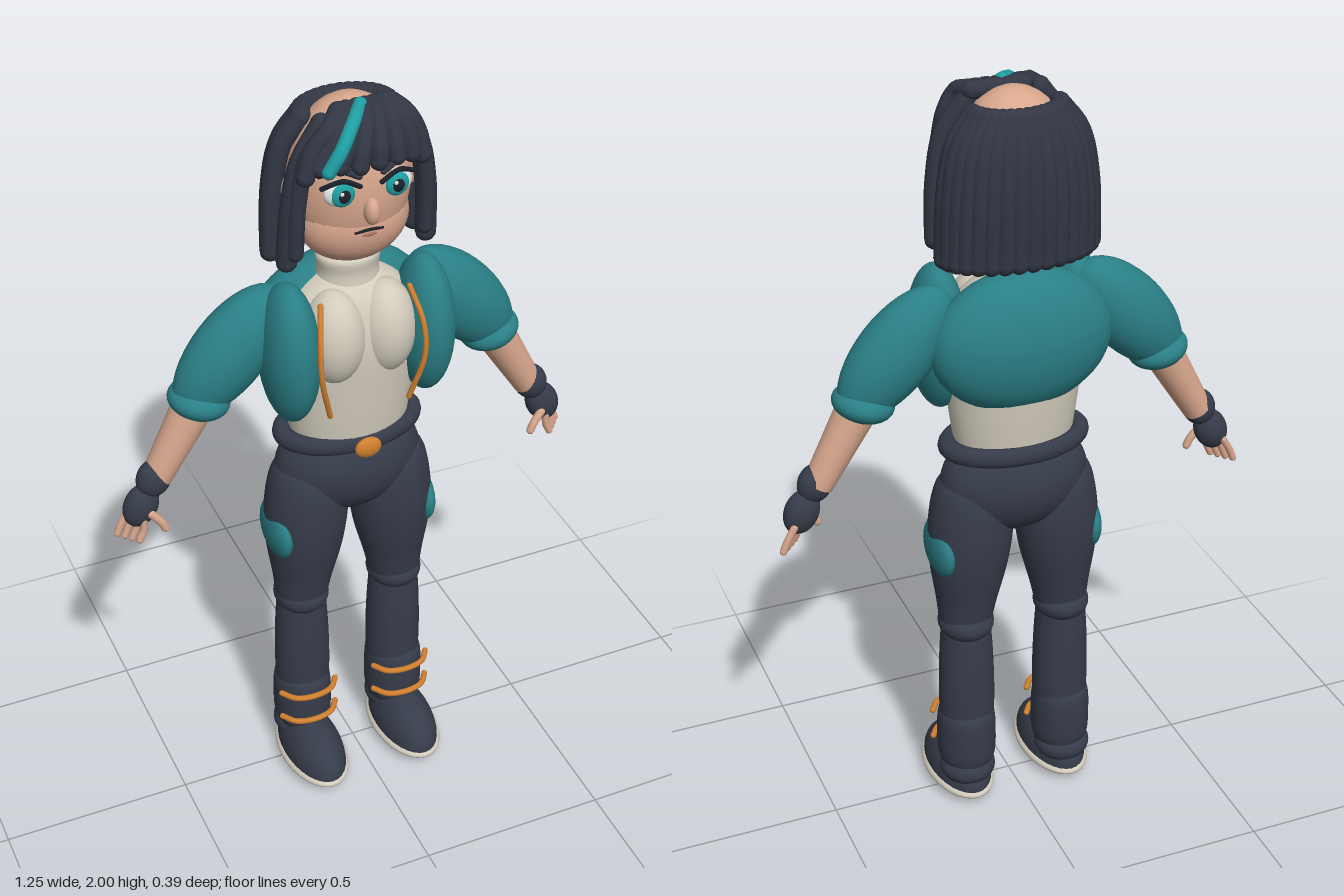
import * as THREE from 'three';

export function createModel() {
  const model = new THREE.Group();
  const mat = (name, color) => {
    const m = new THREE.MeshStandardMaterial({ color });
    m.name = name;
    return m;
  };
  const hair = mat('hair', 0x323744), dark = mat('darkCloth', 0x363c4a), teal = mat('jacketTeal', 0x2a7f86);
  const skin = mat('skin', 0xd8a78d), cream = mat('cream', 0xd2ccbc), orange = mat('orangeTrim', 0xcf8030);
  const bright = mat('brightTeal', 0x1f9fa3), white = mat('eyeWhite', 0xe8ebea), black = mat('pupilDark', 0x1c2029);
  const lip = mat('lip', 0xa86f60);

  const V = (p) => new THREE.Vector3(...p);
  const add = (name, geo, m, pos = [0, 0, 0]) => {
    const mesh = new THREE.Mesh(geo, m);
    mesh.name = name;
    mesh.position.set(...pos);
    model.add(mesh);
    return mesh;
  };
  // Ellipsoid with three radii, optionally tilted about z
  const ball = (name, m, pos, radii, tilt = 0) => {
    const mesh = add(name, new THREE.SphereGeometry(1, 32, 20), m, pos);
    mesh.scale.set(...radii);
    mesh.rotation.z = tilt;
    return mesh;
  };
  // Round strand through a few points, with rounded ends
  const strand = (name, m, pts, r) => {
    const curve = new THREE.CatmullRomCurve3(pts.map(V));
    add(name, new THREE.TubeGeometry(curve, 16, r, 10), m);
    for (const p of [pts[0], pts[pts.length - 1]]) {
      add(name + 'End', new THREE.SphereGeometry(r, 10, 8), m, p);
    }
  };
  // Turned shape flattened in z
  const turned = (name, m, profile, pos, flat = 1) => {
    const curve = new THREE.SplineCurve(profile.map(([r, y]) => new THREE.Vector2(r, y)));
    const mesh = add(name, new THREE.LatheGeometry(curve.getPoints(28), 32), m, pos);
    mesh.scale.z = flat;
    return mesh;
  };

  // Torso, collar, waist
  turned('torso', cream, [[0.15, 1.05], [0.17, 1.2], [0.18, 1.36], [0.14, 1.47], [0.06, 1.53]], [0, 0, -0.03], 0.7);
  turned('collar', cream, [[0.085, 1.48], [0.077, 1.53], [0.08, 1.57], [0.06, 1.585]], [0, 0, -0.03], 0.85);
  ball('neck', skin, [0, 1.59, -0.03], [0.06, 0.06, 0.055]);
  const belt = add('belt', new THREE.TorusGeometry(0.172, 0.026, 14, 48), dark, [0, 1.07, -0.035]);
  belt.rotation.x = Math.PI / 2;
  belt.scale.set(1, 0.62, 1);
  ball('buckle', orange, [0, 1.07, 0.097], [0.035, 0.029, 0.015]);
  ball('hips', dark, [0, 0.96, -0.035], [0.195, 0.145, 0.12]);

  // Jacket back
  ball('jacketBack', teal, [0, 1.365, -0.085], [0.235, 0.185, 0.108]);

  for (const s of [1, -1]) {
    // Chest and jacket front
    ball('chest', cream, [s * 0.066, 1.38, 0.035], [0.08, 0.128, 0.085]);
    ball('jacketFront', teal, [s * 0.177, 1.355, 0.025], [0.072, 0.19, 0.108]);
    strand('jacketTrim', orange,
      [[s * 0.115, 1.5, 0.075], [s * 0.133, 1.42, 0.117], [s * 0.135, 1.33, 0.128], [s * 0.105, 1.2, 0.105]], 0.007);

    // Arm
    ball('sleeve', teal, [s * 0.305, 1.36, -0.035], [0.098, 0.195, 0.079], s * 0.72);
    ball('sleeveCuff', teal, [s * 0.39, 1.243, -0.035], [0.078, 0.046, 0.077], s * 0.25);
    const forearm = add('forearm', new THREE.CylinderGeometry(0.053, 0.038, 0.24, 24), skin, [s * 0.453, 1.145, -0.033]);
    forearm.rotation.z = s * 0.52;
    ball('gloveWrist', dark, [s * 0.518, 1.045, -0.03], [0.044, 0.052, 0.038], s * 0.4);
    ball('gloveHand', dark, [s * 0.556, 0.972, -0.03], [0.044, 0.06, 0.036], s * 0.4);
    for (let i = 0; i < 4; i++) {
      const z = -0.055 + i * 0.016, spread = i * 0.014;
      strand('finger', skin,
        [[s * (0.583 - spread * 0.6), 0.945, z], [s * (0.602 - spread), 0.912, z], [s * (0.614 - spread), 0.884, z]], 0.0095);
    }
    strand('thumb', skin, [[s * 0.54, 0.96, 0], [s * 0.517, 0.932, 0.005], [s * 0.508, 0.912, 0.006]], 0.011);

    // Leg
    const thigh = turned('thigh', dark,
      [[0.069, -0.24], [0.08, -0.17], [0.103, -0.05], [0.109, 0.06], [0.09, 0.17], [0.02, 0.23]],
      [s * 0.12, 0.79, -0.032], 0.96);
    thigh.rotation.z = s * 0.06;
    ball('thighPatch', teal, [s * 0.2, 0.785, -0.03], [0.032, 0.077, 0.086]);
    ball('knee', dark, [s * 0.134, 0.55, -0.035], [0.073, 0.052, 0.078]);
    turned('shin', dark, [[0.066, 0.53], [0.071, 0.45], [0.074, 0.35], [0.073, 0.25], [0.068, 0.1]].reverse(),
      [s * 0.134, 0, -0.035], 0.95);
    turned('bootShaft', dark, [[0.06, 0.09], [0.076, 0.13], [0.078, 0.2], [0.074, 0.26], [0.055, 0.285]],
      [s * 0.136, 0, -0.035], 1.05);
    for (const y of [0.16, 0.245]) {
      strand('bootStrap', orange, [[s * 0.058, y, 0.012], [s * 0.085, y, 0.046], [s * 0.136, y, 0.058],
        [s * 0.187, y, 0.046], [s * 0.214, y, 0.012]], 0.008);
    }

    // Shoe
    const shoe = add('shoe', new THREE.SphereGeometry(1, 32, 14, 0, Math.PI * 2, 0, Math.PI / 2), dark, [s * 0.138, 0.035, 0.033]);
    shoe.scale.set(0.08, 0.1, 0.153);
    ball('heel', dark, [s * 0.138, 0.09, -0.045], [0.075, 0.05, 0.075]);
    ball('sole', cream, [s * 0.138, 0.03, 0.033], [0.088, 0.03, 0.16]);

    // Eye, brow and ear
    ball('eyeWhite', white, [s * 0.068, 1.8, 0.086], [0.042, 0.034, 0.021]);
    ball('iris', bright, [s * 0.067, 1.8, 0.1], [0.029, 0.03, 0.012]);
    ball('pupil', black, [s * 0.067, 1.8, 0.107], [0.016, 0.018, 0.008]);
    ball('eyeGlint', white, [s * 0.067 - 0.008, 1.81, 0.114], [0.005, 0.005, 0.003]);
    strand('upperLid', black, [[s * 0.027, 1.816, 0.105], [s * 0.068, 1.836, 0.102], [s * 0.112, 1.817, 0.083]], 0.006);
    strand('eyebrow', hair, [[s * 0.03, 1.843, 0.106], [s * 0.075, 1.862, 0.096], [s * 0.115, 1.848, 0.075]], 0.008);
    ball('ear', skin, [s * 0.15, 1.77, -0.012], [0.022, 0.045, 0.025]);

    // Locks beside the face
    strand('sideLock', hair, [[s * 0.09, 1.95, 0.03], [s * 0.145, 1.87, 0.038], [s * 0.17, 1.75, 0.035], [s * 0.178, 1.61, 0.024]], 0.026);
    strand('frontLock', hair, [[s * 0.07, 1.955, 0.045], [s * 0.135, 1.89, 0.058], [s * 0.16, 1.78, 0.056], [s * 0.165, 1.64, 0.045]], 0.021);
  }

  // Head
  ball('head', skin, [0, 1.775, -0.025], [0.15, 0.208, 0.132]);
  ball('jaw', skin, [0, 1.685, 0], [0.138, 0.112, 0.1]);
  ball('nose', skin, [0, 1.748, 0.109], [0.019, 0.034, 0.023]);
  strand('mouth', black, [[-0.034, 1.69, 0.094], [0, 1.695, 0.1], [0.034, 1.69, 0.094]], 0.004);
  ball('lowerLip', lip, [0, 1.682, 0.096], [0.02, 0.006, 0.007]);

  // Back hair: a fan of strands round the skull
  const count = 17;
  for (let i = 0; i < count; i++) {
    const a = THREE.MathUtils.degToRad(5 + (170 * i) / (count - 1));
    const c = Math.cos(a), d = Math.sin(a);
    strand('backHair', hair, [
      [0.108 * c, 1.935, -0.043 - 0.075 * d], [0.155 * c, 1.87, -0.048 - 0.095 * d],
      [0.178 * c, 1.76, -0.05 - 0.108 * d], [0.186 * c, 1.595, -0.05 - 0.102 * d]], 0.026);
  }

  // Fringe: [root x, tip x, tip y]
  const fringe = [[-0.045, -0.148, 1.85], [-0.025, -0.118, 1.872], [0.0, -0.07, 1.872], [0.02, -0.025, 1.865],
    [0.04, 0.022, 1.868], [0.06, 0.068, 1.87], [0.075, 0.108, 1.865], [0.085, 0.14, 1.85]];
  for (const [x0, x1, y] of fringe) {
    const z = 0.1 - 1.2 * x1 * x1;
    strand('fringe', hair, [[x0, 1.968, 0.02], [x0 * 0.65 + x1 * 0.35, 1.955, 0.062], [x0 * 0.2 + x1 * 0.8, 1.905, z - 0.005], [x1, y, z]], 0.023);
  }
  strand('fringeStreak', bright, [[0.005, 1.98, 0.03], [-0.035, 1.962, 0.079], [-0.075, 1.915, 0.108], [-0.105, 1.87, 0.108]], 0.017);

  return model;
}
